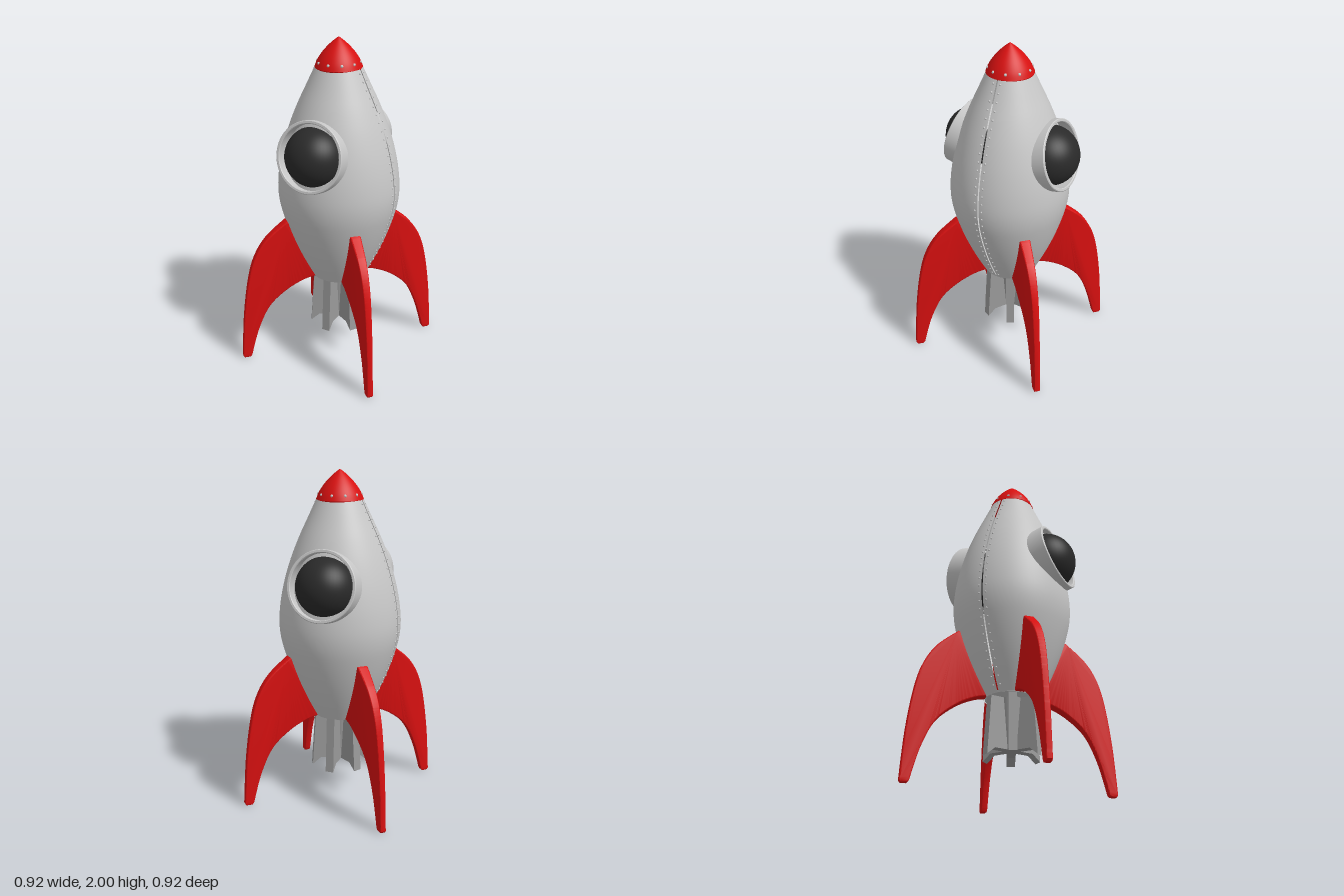
import * as THREE from 'three';
import { mergeGeometries, toCreasedNormals } from 'three/addons/utils/BufferGeometryUtils.js';

const v2 = (x, y) => new THREE.Vector2(x, y);
const material = (name, color) => {
  const m = new THREE.MeshStandardMaterial({ color });
  m.name = name;
  return m;
};

export function createModel() {
  const hullGrey = material('hull grey', 0xc8c8c8);
  hullGrey.side = THREE.DoubleSide;
  const red = material('red', 0xd81010);
  const glassBlack = material('glass black', 0x2a2a2a);
  const engineGrey = material('engine grey', 0x9a9a9a);

  const model = new THREE.Group();
  model.name = 'rocket';
  const add = (name, geometry, mat, parent = model) => {
    const mesh = new THREE.Mesh(geometry, mat);
    mesh.name = name;
    parent.add(mesh);
    return mesh;
  };

  // Hull: two half shells with a narrow seam between them
  const hullCurve = new THREE.SplineCurve([
    [0.165, 0.525], [0.215, 0.62], [0.262, 0.72], [0.302, 0.82], [0.335, 0.92], [0.357, 1.01],
    [0.365, 1.1], [0.358, 1.2], [0.341, 1.3], [0.316, 1.4], [0.28, 1.51], [0.235, 1.62],
    [0.188, 1.72], [0.134, 1.835],
  ].map(([x, y]) => v2(x, y)));
  const hullProfile = hullCurve.getPoints(44);
  const depthScale = 0.95;
  for (const side of [1, -1]) {
    const start = side > 0 ? -Math.PI / 2 : Math.PI / 2;
    const shell = new THREE.LatheGeometry(hullProfile, 32, start, Math.PI);
    shell.scale(1, 1, depthScale).translate(0, 0, side * 0.004);
    add(side > 0 ? 'frontHull' : 'backHull', shell, hullGrey);
  }
  const base = new THREE.CylinderGeometry(0.166, 0.163, 0.012, 48);
  add('hullBase', base.scale(1, 1, depthScale).translate(0, 0.53, 0), hullGrey);

  // Rivets: double rows along both seams and one ring on the nose
  const rivetAt = (x, y, z) => new THREE.SphereGeometry(0.0065, 8, 6).translate(x, y, z);
  const seamRivets = [];
  for (let i = 0; i < 28; i++) {
    const p = hullCurve.getPointAt(0.03 + 0.95 * i / 27);
    for (const sx of [1, -1]) for (const sz of [1, -1]) {
      seamRivets.push(rivetAt(sx * (p.x - 0.002), p.y, sz * 0.022));
    }
  }
  add('seamRivets', mergeGeometries(seamRivets), hullGrey);
  const noseRivets = [];
  for (let i = 0; i < 10; i++) {
    const a = i * Math.PI / 5;
    const g = new THREE.SphereGeometry(0.009, 8, 6);
    noseRivets.push(g.translate(Math.sin(a) * 0.123, 1.861, Math.cos(a) * 0.123));
  }
  add('noseRivets', mergeGeometries(noseRivets), hullGrey);

  // Nose cone
  const noseCurve = new THREE.SplineCurve([
    v2(0.137, 1.832), v2(0.122, 1.868), v2(0.095, 1.91), v2(0.058, 1.952), v2(0.022, 1.984), v2(0, 2),
  ]);
  add('noseCone', new THREE.LatheGeometry(noseCurve.getPoints(20), 48), red);
  add('noseRim', new THREE.CylinderGeometry(0.137, 0.135, 0.006, 48).translate(0, 1.83, 0), red);

  // Portholes, tilted upward, front and back
  const ringProfile = [
    v2(0.208, -0.2), v2(0.208, -0.004), v2(0.204, 0), v2(0.192, 0), v2(0.188, -0.004), v2(0.188, -0.2),
  ];
  const ringGeometry = toCreasedNormals(
    new THREE.LatheGeometry(ringProfile, 64).rotateX(Math.PI / 2), 0.6);
  const glassGeometry = new THREE.SphereGeometry(0.176, 48, 32);
  for (const side of [1, -1]) {
    const pivot = new THREE.Group();
    pivot.name = side > 0 ? 'frontPorthole' : 'backPorthole';
    pivot.rotation.y = side > 0 ? 0 : Math.PI;
    const tilted = new THREE.Group();
    tilted.name = 'tiltedPorthole';
    tilted.position.set(-0.016 * side, 1.388, 0.33);
    tilted.rotation.x = -0.254;
    add('portholeRing', ringGeometry, hullGrey, tilted);
    add('portholeGlass', glassGeometry, glassBlack, tilted).position.z = -0.084;
    pivot.add(tilted);
    model.add(pivot);
  }

  // Landing fins: swept outline, thinner toward the tip
  const finShape = new THREE.Shape();
  finShape.moveTo(0.13, 0.53);
  finShape.splineThru([
    v2(0.23, 0.51), v2(0.34, 0.455), v2(0.45, 0.355), v2(0.525, 0.2), v2(0.578, 0.012),
  ]);
  finShape.lineTo(0.588, 0);
  finShape.lineTo(0.624, 0);
  finShape.lineTo(0.633, 0.012);
  finShape.splineThru([
    v2(0.612, 0.3), v2(0.575, 0.55), v2(0.53, 0.7), v2(0.455, 0.815), v2(0.335, 0.915),
  ]);
  finShape.lineTo(0.27, 0.92);
  finShape.closePath();
  const bevel = 0.008;
  const finGeometry = new THREE.ExtrudeGeometry(finShape, {
    depth: 0.05, bevelEnabled: true, bevelThickness: bevel, bevelSize: bevel,
    bevelOffset: -bevel, bevelSegments: 3, curveSegments: 24,
  }).translate(0, 0, -0.025);
  const finPos = finGeometry.attributes.position;
  for (let i = 0; i < finPos.count; i++) {
    const t = THREE.MathUtils.clamp((finPos.getX(i) - 0.3) / 0.32, 0, 1);
    finPos.setZ(i, finPos.getZ(i) * THREE.MathUtils.lerp(1, 0.54, t));
  }
  const smoothFin = toCreasedNormals(finGeometry, 0.7);
  for (let i = 0; i < 4; i++) {
    add('fin', smoothFin, red).rotation.y = Math.PI / 4 + i * Math.PI / 2;
  }

  // Engine: hub with six radial blades
  add('engineHub', new THREE.CylinderGeometry(0.075, 0.05, 0.31, 24).translate(0, 0.375, 0), engineGrey);
  const bladeShape = new THREE.Shape([
    v2(0.02, 0.22), v2(0.125, 0.22), v2(0.175, 0.178), v2(0.152, 0.528), v2(0.02, 0.528),
  ]);
  const bladeGeometry = new THREE.ExtrudeGeometry(bladeShape, { depth: 0.05, bevelEnabled: false })
    .translate(0, 0, -0.025);
  for (let i = 0; i < 6; i++) {
    add('engineBlade', bladeGeometry, engineGrey).rotation.y = Math.PI / 2 + i * Math.PI / 3;
  }

  return model;
}
